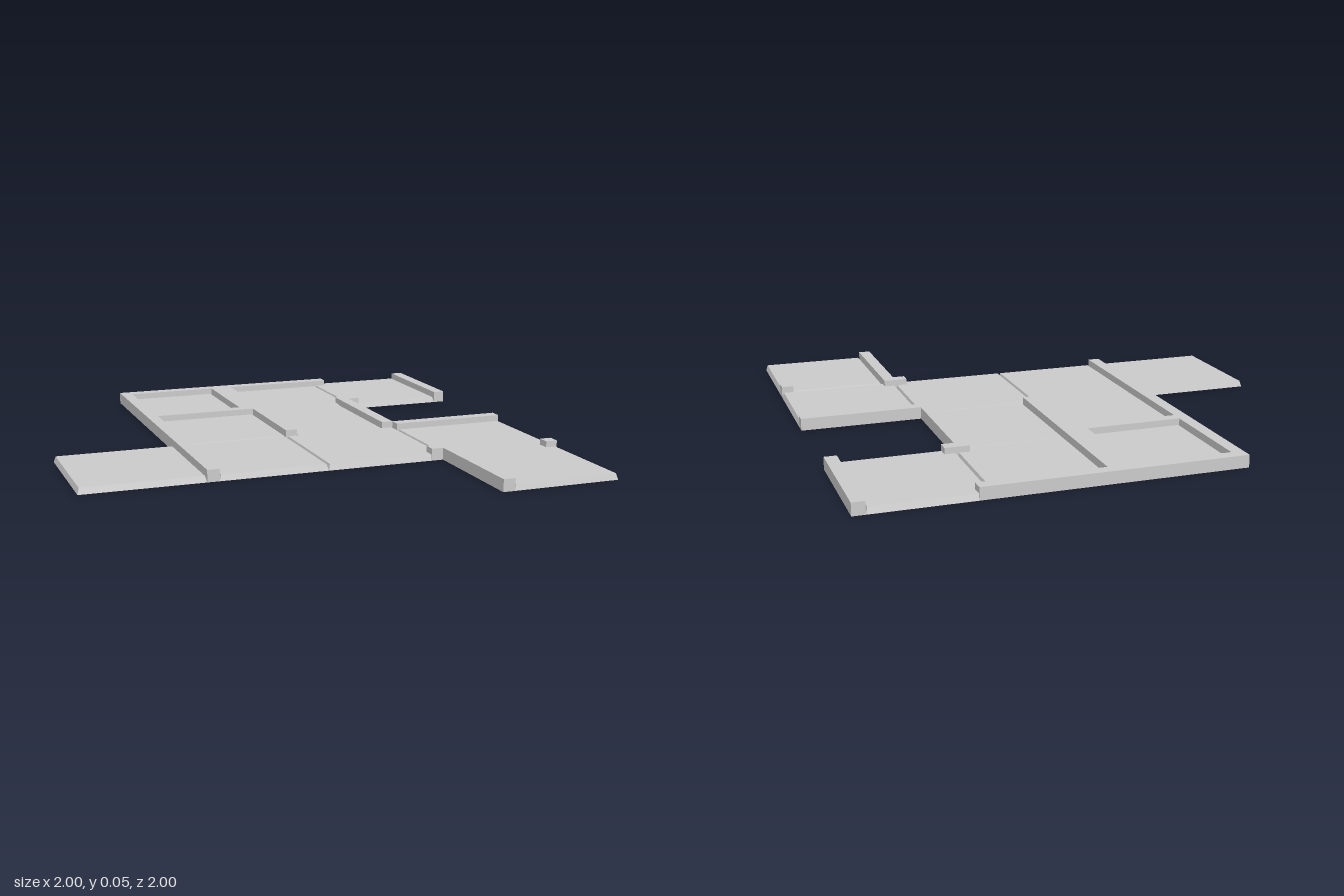
import * as THREE from 'three';

const WALL_HEIGHT = 0.05;
const FLOOR_HEIGHT = 0.025;
const BEVEL = 0.007;

// Open-bottomed slab over the rectangle [x0, z0, x1, z1]; the top is drawn in by "inset".
function shell([x0, z0, x1, z1], height, inset) {
  const w = x1 - x0, d = z1 - z0;
  const box = new THREE.BoxGeometry(w, height, d);
  const index = Array.from(box.index.array);
  index.splice(18, 6); // drop the underside
  box.setIndex(index);
  const geo = box.toNonIndexed();
  const p = geo.attributes.position;
  for (let i = 0; i < p.count; i++) {
    if (p.getY(i) > 0) {
      p.setX(i, Math.sign(p.getX(i)) * (w / 2 - inset));
      p.setZ(i, Math.sign(p.getZ(i)) * (d / 2 - inset));
    }
  }
  geo.computeVertexNormals();
  geo.translate((x0 + x1) / 2, height / 2, (z0 + z1) / 2);
  return geo;
}

// Bevelled floor tiles
const floors = {
  westFloor: [-1, 0, -0.5, 0.5],
  frontLeftFloor: [-0.45, 0, 0, 0.5],
  frontCentreFloor: [0, 0, 0.5, 0.5],
  eastFloor: [0.5, 0.05, 1, 0.5],
  southEastFloor: [0.55, 0.5, 1, 1],
  middleLeftFloor: [-0.45, -0.45, 0, 0],
  middleRightFloor: [0.05, -0.5, 0.45, 0],
  backRightFloor: [0.05, -0.95, 0.5, -0.5],
  backLeftFloor: [-0.45, -0.95, -0.05, -0.5],
  northEastFloor: [0.5, -1, 0.95, -0.5],
};

// Walls and the short corner posts
const walls = {
  westWall: [-0.5, -1, -0.45, 0.5],
  backWall: [-0.45, -1, 0.5, -0.95],
  backWallEndPost: [0.5, -1, 0.55, -0.95],
  backDividingWall: [-0.05, -0.95, 0.05, -0.5],
  middleLeftWall: [-0.45, -0.5, 0, -0.45],
  middleDividingWall: [0, -0.5, 0.05, 0],
  middleRightWall: [0.45, -0.5, 0.5, 0],
  middleRightPost: [0.45, -0.55, 0.55, -0.5],
  northEastWall: [0.95, -1, 1, -0.5],
  eastBackWall: [0.5, 0, 1, 0.05],
  southEastWall: [0.5, 0.5, 0.55, 1],
  frontPost: [0.45, 0.45, 0.55, 0.5],
  southEastPost: [0.95, 0.5, 1, 0.55],
};

export function createModel() {
  const model = new THREE.Group();
  model.name = 'floorPlanTiles';
  const material = new THREE.MeshStandardMaterial({
    color: 0xcccccc, flatShading: true, side: THREE.DoubleSide,
  });
  const addAll = (groupName, rects, height, inset) => {
    const group = new THREE.Group();
    group.name = groupName;
    for (const [name, rect] of Object.entries(rects)) {
      const mesh = new THREE.Mesh(shell(rect, height, inset), material);
      mesh.name = name;
      group.add(mesh);
    }
    model.add(group);
  };
  addAll('floors', floors, FLOOR_HEIGHT, BEVEL);
  addAll('walls', walls, WALL_HEIGHT, 0);
  return model;
}
